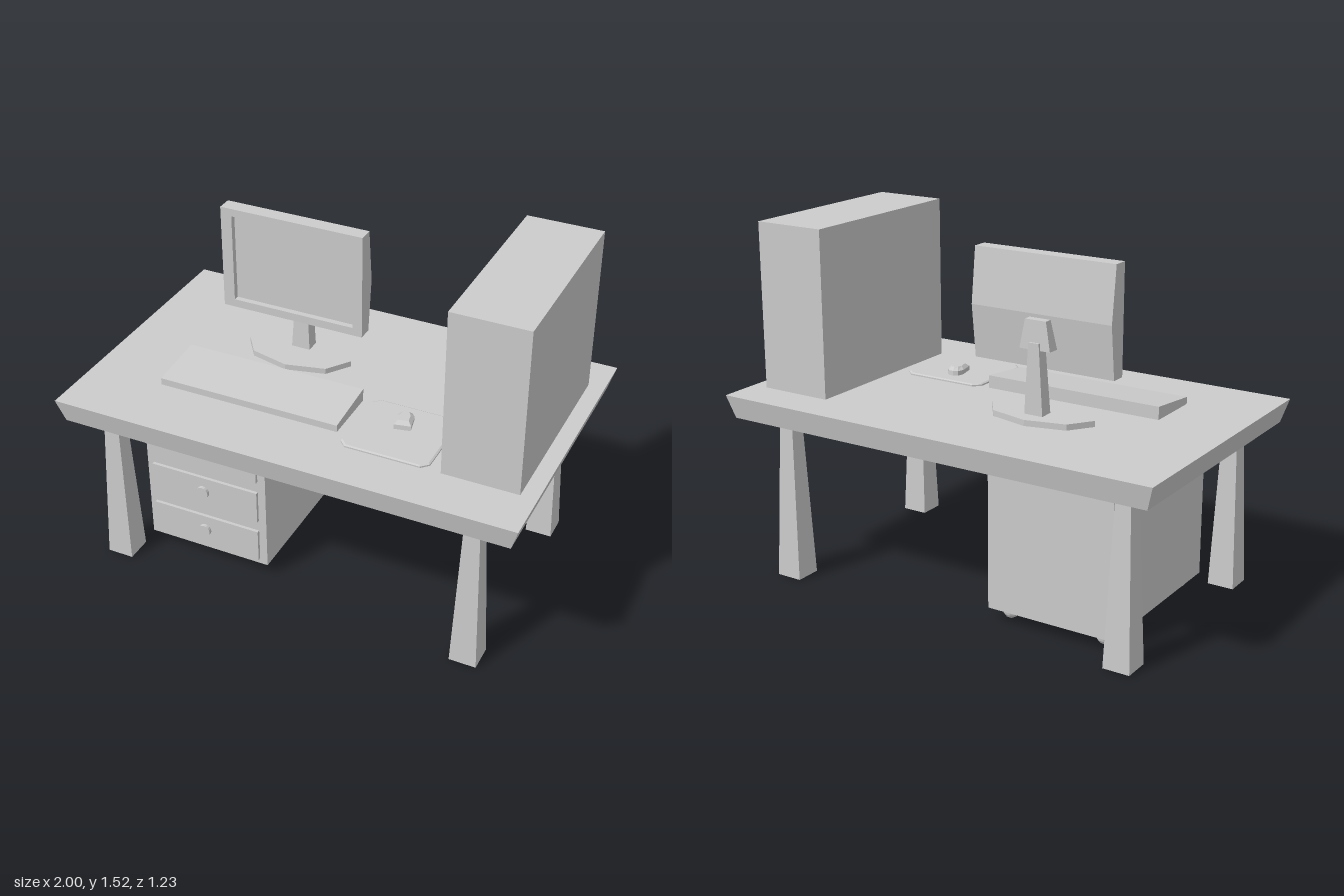
import * as THREE from 'three';

const material = new THREE.MeshStandardMaterial({ color: 0xcccccc, flatShading: true });

// Closed convex solid through a list of equal-length rings of [x, y, z] points,
// each counter-clockwise as seen from the last ring's side.
function loft(rings) {
  const pos = [];
  const tri = (...pts) => pts.forEach((p) => pos.push(...p));
  const n = rings[0].length;
  for (let r = 0; r + 1 < rings.length; r++) {
    const a = rings[r], b = rings[r + 1];
    for (let i = 0; i < n; i++) {
      const j = (i + 1) % n;
      tri(a[i], a[j], b[j]);
      tri(a[i], b[j], b[i]);
    }
  }
  const first = rings[0], last = rings[rings.length - 1];
  for (let i = 1; i + 1 < n; i++) {
    tri(first[0], first[i + 1], first[i]);
    tri(last[0], last[i], last[i + 1]);
  }
  const geo = new THREE.BufferGeometry();
  geo.setAttribute('position', new THREE.Float32BufferAttribute(pos, 3));
  geo.computeVertexNormals();
  return geo;
}

// Horizontal rectangle at height y
const rect = (y, x0, x1, z0, z1) => [[x0, y, z1], [x1, y, z1], [x1, y, z0], [x0, y, z0]];

// Horizontal rectangle with cut corners
const cutRect = (y, x0, x1, z0, z1, c) => [
  [x0 + c, y, z1], [x1 - c, y, z1], [x1, y, z1 - c], [x1, y, z0 + c],
  [x1 - c, y, z0], [x0 + c, y, z0], [x0, y, z0 + c], [x0, y, z1 - c]];

// Side profile of [z, y] points swept from x0 to x1
const sweepX = (profile, x0, x1) =>
  loft([x0, x1].map((x) => profile.map(([z, y]) => [x, y, z])));

function add(parent, name, geo, x = 0, y = 0, z = 0) {
  const mesh = new THREE.Mesh(geo, material);
  mesh.name = name;
  mesh.position.set(x, y, z);
  parent.add(mesh);
  return mesh;
}

function addBox(parent, name, x0, x1, y0, y1, z0, z1) {
  return add(parent, name, new THREE.BoxGeometry(x1 - x0, y1 - y0, z1 - z0),
    (x0 + x1) / 2, (y0 + y1) / 2, (z0 + z1) / 2);
}

function addGroup(parent, name) {
  const g = new THREE.Group();
  g.name = name;
  parent.add(g);
  return g;
}

function buildDesk(root) {
  const desk = addGroup(root, 'desk');
  add(desk, 'deskTop', loft([
    rect(0.71, -0.97, 0.97, -0.59, 0.59), rect(0.81, -1, 1, -0.613, 0.613)]));
  const leg = loft([
    rect(0, -0.058, 0.058, -0.058, 0.058), rect(0.71, -0.032, 0.032, -0.032, 0.032)]);
  for (const x of [-0.82, 0.783])
    for (const z of [-0.459, 0.459]) add(desk, 'leg', leg, x, 0, z);
}

function buildCabinet(root) {
  const cabinet = addGroup(root, 'drawerCabinet');
  addBox(cabinet, 'cabinetBody', -0.735, -0.17, 0.055, 0.66, -0.403, 0.37);
  const knob = new THREE.CylinderGeometry(0.028, 0.028, 0.016, 16).rotateX(Math.PI / 2);
  for (const y of [0.157, 0.36, 0.563]) {
    addBox(cabinet, 'drawerFront', -0.705, -0.205, y - 0.075, y + 0.075, 0.369, 0.384);
    add(cabinet, 'drawerKnob', knob, -0.46, y + 0.005, 0.391);
  }
  const wheel = new THREE.SphereGeometry(0.035, 10, 8);
  for (const x of [-0.67, -0.235])
    for (const z of [-0.33, 0.3]) add(cabinet, 'caster', wheel, x, 0.035, z);
}

function buildMonitor(root) {
  const monitor = addGroup(root, 'monitor');
  const cx = -0.26;

  // Bezel with a recessed screen
  const outline = (x0, x1, y0, y1) => [[x0, y0], [x1, y0], [x1, y1], [x0, y1]]
    .map(([x, y]) => new THREE.Vector2(x, y));
  const bezel = new THREE.Shape(outline(-0.58, 0.06, 1.01, 1.468));
  bezel.holes.push(new THREE.Path(outline(-0.53, 0.018, 1.045, 1.435)));
  add(monitor, 'bezel',
    new THREE.ExtrudeGeometry(bezel, { depth: 0.025, bevelEnabled: false }), 0, 0, -0.1);

  // Back shell with a horizontal crease; its flat front is the screen
  add(monitor, 'screenAndBackShell', sweepX(
    [[-0.1, 1.468], [-0.1, 1.01], [-0.14, 1.01], [-0.167, 1.235], [-0.14, 1.468]], -0.58, 0.06));

  // Stand
  const oval = (y) => Array.from({ length: 8 }, (_, i) => {
    const a = i * Math.PI / 4;
    return [cx + 0.24 * Math.cos(a), y, -0.142 - 0.14 * Math.sin(a)];
  });
  add(monitor, 'standBase', loft([oval(0.81), oval(0.835)]));
  add(monitor, 'standNeck', loft([
    rect(0.83, cx - 0.042, cx + 0.042, -0.212, -0.15),
    rect(1.13, cx - 0.024, cx + 0.024, -0.214, -0.165)]));
  add(monitor, 'standMount', loft([
    rect(1.1, cx - 0.07, cx + 0.07, -0.205, -0.14),
    rect(1.22, cx - 0.048, cx + 0.048, -0.2, -0.15)]));
}

function buildDesktopItems(root) {
  addBox(root, 'computerTower', 0.61, 0.93, 0.81, 1.522, -0.437, 0.397);

  // Wedge keyboard, higher at the back
  add(root, 'keyboard', sweepX(
    [[0.07, 0.865], [0.32, 0.84], [0.32, 0.81], [0.07, 0.81]], -0.67, 0.135));

  add(root, 'mousePad', loft([
    cutRect(0.81, 0.175, 0.555, 0.045, 0.4, 0.03),
    cutRect(0.816, 0.175, 0.555, 0.045, 0.4, 0.03),
    cutRect(0.82, 0.182, 0.548, 0.052, 0.393, 0.027)]));

  // Mouse: square at the front, rounded at the far end
  const ring = (y, w, front, back) => [
    [-w, y, front], [w, y, front], [w, y, back + 0.03],
    [w * 0.6, y, back + 0.006], [0, y, back], [-w * 0.6, y, back + 0.006], [-w, y, back + 0.03]];
  const mouse = add(root, 'mouse', loft([
    ring(0, 0.034, 0.05, -0.054), ring(0.02, 0.036, 0.048, -0.052),
    ring(0.034, 0.022, 0.032, -0.036)]), 0.358, 0.82, 0.16);
  mouse.rotation.y = 0.21;
}

export function createModel() {
  const root = new THREE.Group();
  root.name = 'computerDesk';
  buildDesk(root);
  buildCabinet(root);
  buildMonitor(root);
  buildDesktopItems(root);
  return root;
}
